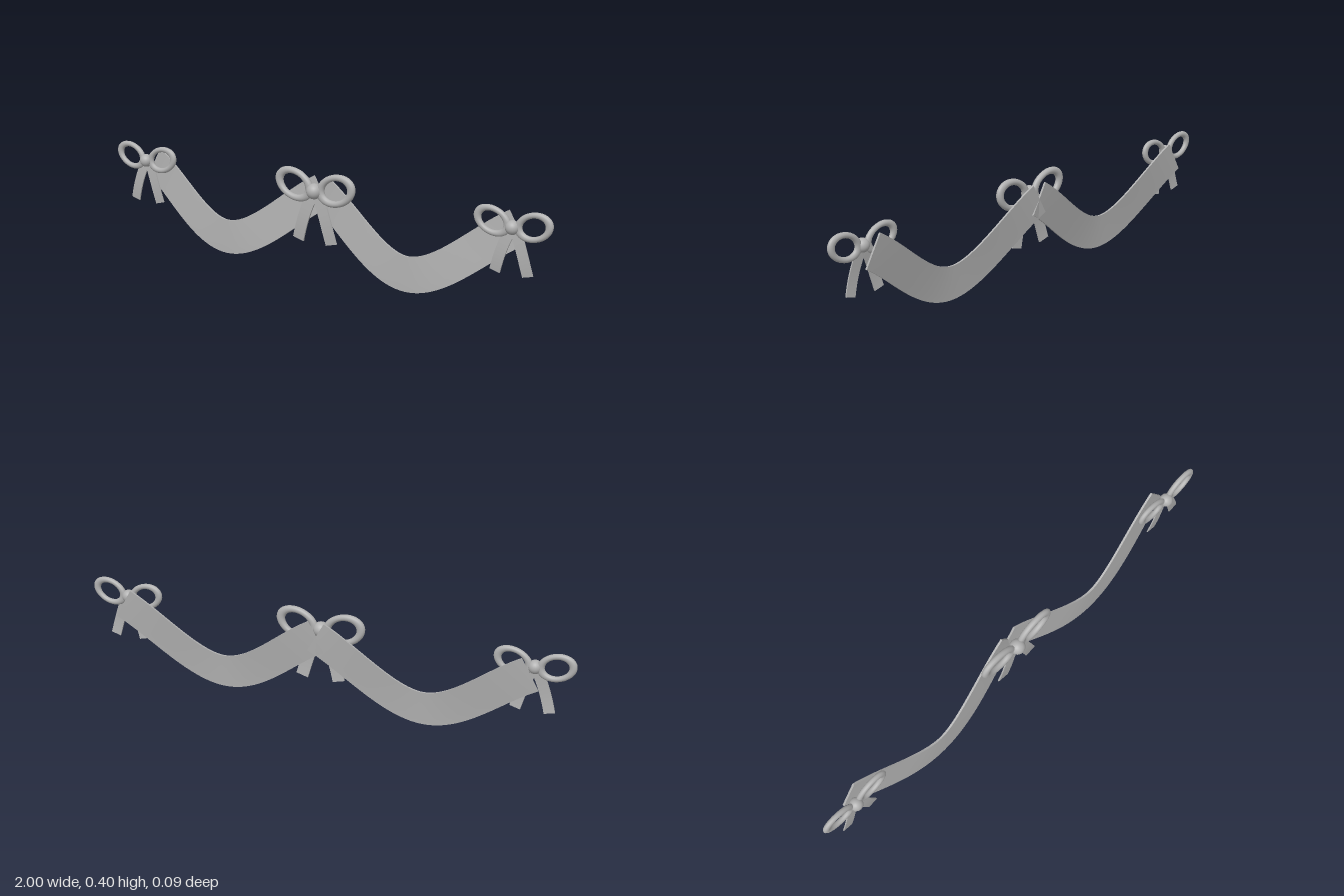
import * as THREE from 'three';
import { toCreasedNormals } from 'three/addons/utils/BufferGeometryUtils.js';

const silver = new THREE.MeshStandardMaterial({ color: 0xb0b0b0 });
silver.name = 'silver grey';

// Solid ribbon swept along a curve; rows are [across, bulge] pairs from lower to upper edge
function ribbon(curve, rows, thickness, steps) {
  const pos = [], idx = [], n = rows.length, m = n * 2;
  for (let i = 0; i <= steps; i++) {
    const t = i / steps, p = curve.getPoint(t), d = curve.getTangent(t);
    const len = Math.hypot(d.x, d.y), nx = -d.y / len, ny = d.x / len;
    const swell = Math.sin(Math.PI * t);
    for (let j = 0; j < m; j++) {
      const [u, w] = rows[j < n ? j : m - 1 - j];
      pos.push(p.x + nx * u, p.y + ny * u, p.z + w * swell + (j < n ? -0.5 : 0.5) * thickness);
    }
  }
  for (let i = 0; i < steps; i++) {
    for (let j = 0; j < m; j++) {
      const k = (j + 1) % m, a = i * m, b = a + m;
      idx.push(a + j, a + k, b + k, a + j, b + k, b + j);
    }
  }
  const e = steps * m;
  for (let j = 0; j < n - 1; j++) {
    const q = [j, j + 1, m - 2 - j, m - 1 - j];
    idx.push(q[0], q[2], q[1], q[0], q[3], q[2]);
    idx.push(e + q[0], e + q[1], e + q[2], e + q[0], e + q[2], e + q[3]);
  }
  const g = new THREE.BufferGeometry();
  g.setAttribute('position', new THREE.Float32BufferAttribute(pos, 3));
  g.setIndex(idx);
  return toCreasedNormals(g, 0.6);
}

function add(parent, geometry, name) {
  const mesh = new THREE.Mesh(geometry, silver);
  mesh.name = name;
  parent.add(mesh);
  return mesh;
}

// Bow with its knot at the group's origin
function makeBow(name) {
  const bow = new THREE.Group();
  bow.name = name;
  for (const s of [1, -1]) {
    const side = s > 0 ? 'left' : 'right';

    // Oval loop, tilted up outwards
    const loop = add(bow, new THREE.TorusGeometry(0.051, 0.0125, 14, 40), side + 'Loop');
    loop.scale.set(1.42, 1, 1);
    loop.rotation.z = s * 0.33;
    loop.position.set(s * 0.096, 0.014, 0.006);

    // Hanging tail
    const path = new THREE.CubicBezierCurve3(
      new THREE.Vector3(s * 0.005, 0, 0.003),
      new THREE.Vector3(s * 0.035, -0.06, 0.008),
      new THREE.Vector3(s * 0.055, -0.12, 0.014),
      new THREE.Vector3(s * 0.077, -0.203, 0.006));
    add(bow, ribbon(path, [[-0.025, 0], [0.025, 0]], 0.006, 14), side + 'Tail');
  }
  const knot = add(bow, new THREE.SphereGeometry(0.031, 24, 16), 'knot');
  knot.position.z = 0.011;
  return bow;
}

export function createModel() {
  const model = new THREE.Group();
  model.name = 'ribbonGarland';

  // Two draped swags, with a slight fold along the lower edge
  const rows = [[-0.068, 0.008], [-0.038, 0.007], [0.068, 0]];
  for (const s of [1, -1]) {
    const path = new THREE.CatmullRomCurve3([
      new THREE.Vector3(s * 0.42 - 0.42, 0.314, -0.039),
      new THREE.Vector3(s * 0.42, 0.073, 0.009),
      new THREE.Vector3(s * 0.42 + 0.42, 0.314, -0.039)]);
    add(model, ribbon(path, rows, 0.008, 48), s > 0 ? 'leftSwag' : 'rightSwag');
  }

  // One large bow in the middle, a smaller one at each end
  for (const [x, size, name] of [[0, 1, 'centreBow'], [0.845, 0.85, 'leftBow'], [-0.845, 0.85, 'rightBow']]) {
    const bow = makeBow(name);
    bow.position.set(x, 0.326, 0);
    bow.scale.setScalar(size);
    model.add(bow);
  }
  return model;
}
